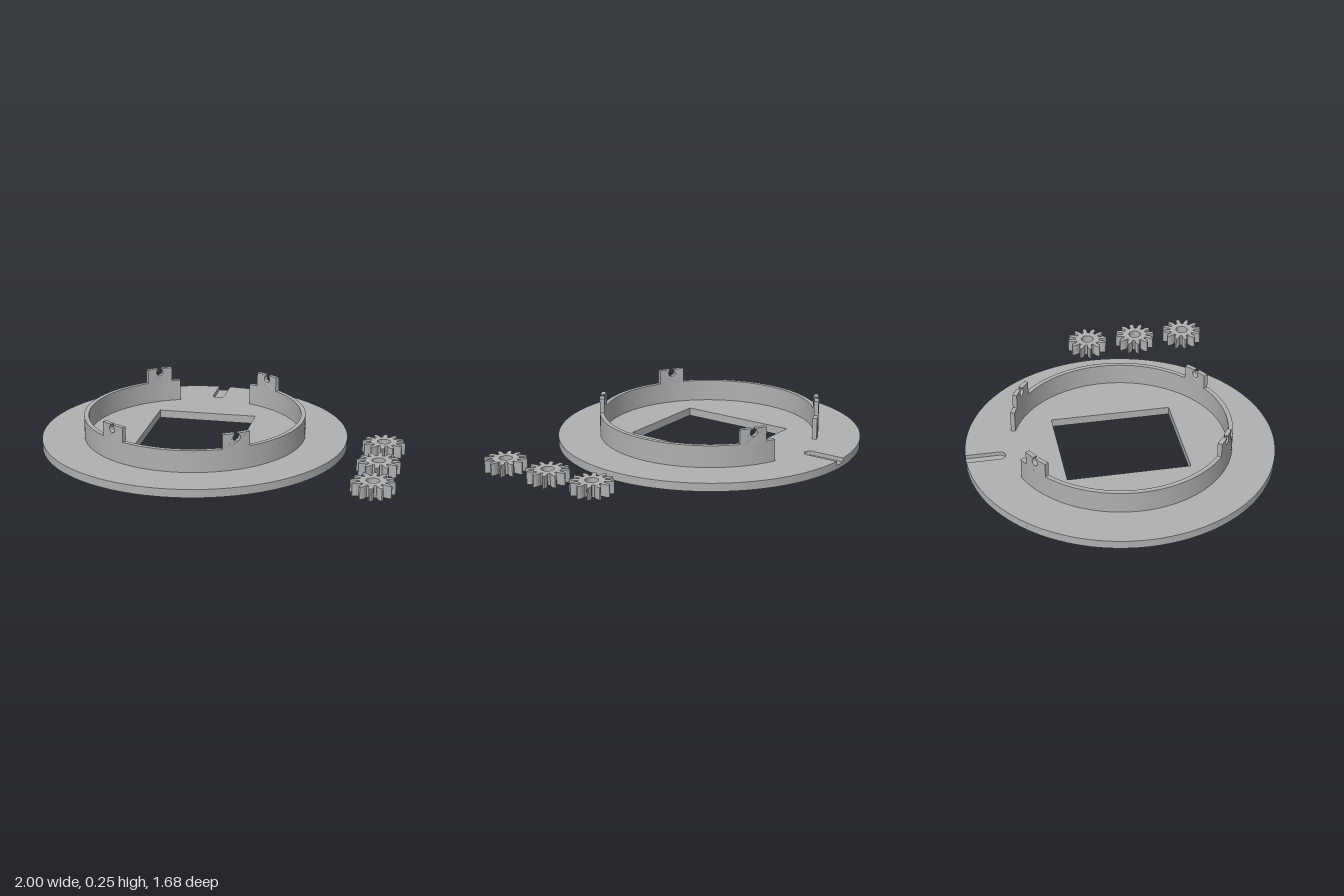
import * as THREE from 'three';
import { toCreasedNormals } from 'three/addons/utils/BufferGeometryUtils.js';

const CENTER_X = -0.16;
const DISC_R = 0.84, DISC_H = 0.045, LAYER = DISC_H / 2;
const WALL_IN = 0.583, WALL_OUT = 0.608, WALL_TOP = 0.165, TAB_TOP = 0.245;

const grey = new THREE.MeshStandardMaterial({ color: 0xb0b0b0 });
grey.name = 'grey';

function part(name, geometry) {
  const mesh = new THREE.Mesh(toCreasedNormals(geometry, 0.5), grey);
  mesh.name = name;
  return mesh;
}

// Upright extrusion of a plan shape; shape y points to the back (-z)
function slab(shape, y, height, curveSegments) {
  const g = new THREE.ExtrudeGeometry(shape, { depth: height, bevelEnabled: false, curveSegments });
  return g.rotateX(-Math.PI / 2).translate(0, y, 0);
}

function rectHole(cx, cy, w, h) {
  const p = new THREE.Path();
  p.moveTo(cx - w / 2, cy - h / 2);
  p.lineTo(cx - w / 2, cy + h / 2);
  p.lineTo(cx + w / 2, cy + h / 2);
  p.lineTo(cx + w / 2, cy - h / 2);
  p.closePath();
  return p;
}

const window_ = () => rectHole(-0.002, 0.002, 0.556, 0.666);

// Lower half of the disc, with three pockets open underneath
function discBottom() {
  const s = new THREE.Shape();
  s.absarc(0, 0, DISC_R, 0, Math.PI * 2, false);
  s.holes.push(window_(),
    rectHole(0.785, 0, 0.035, 0.12),
    rectHole(-0.785, 0, 0.035, 0.12),
    rectHole(0, -0.785, 0.12, 0.035));
  return part('discBottom', slab(s, 0, LAYER, 128));
}

// Upper half of the disc, with a round-ended groove at the back
function discTop() {
  const w = 0.0325, a = Math.asin(w / DISC_R);
  const s = new THREE.Shape();
  s.absarc(0, 0, DISC_R, Math.PI / 2 + a, Math.PI * 2.5 - a, false);
  s.lineTo(w, 0.6575);
  s.absarc(0, 0.6575, w, 0, Math.PI, true);
  s.closePath();
  s.holes.push(window_());
  return part('discTop', slab(s, LAYER, LAYER, 128));
}

// Ring wall, open at the back
function ringWall() {
  const gap = THREE.MathUtils.degToRad(20.7);
  const from = Math.PI / 2 + gap, to = Math.PI * 2.5 - gap;
  const s = new THREE.Shape();
  s.absarc(0, 0, WALL_OUT, from, to, false);
  s.absarc(0, 0, WALL_IN, to, from, true);
  s.closePath();
  return part('ringWall', slab(s, DISC_H, WALL_TOP - DISC_H, 120));
}

// Tab with a keyhole notch, bent to follow the ring
function tab(angle) {
  const R = (WALL_IN + WALL_OUT) / 2, half = 0.0745;
  const holeY = 0.222, holeR = 0.02, slot = 0.01;
  const a = Math.acos(slot / holeR);
  const s = new THREE.Shape();
  s.moveTo(-half, WALL_TOP);
  for (let i = 1; i <= 8; i++) s.lineTo(-half + (half * 2 * i) / 8, WALL_TOP);
  s.lineTo(half, TAB_TOP);
  s.lineTo(half / 2, TAB_TOP);
  s.lineTo(slot, TAB_TOP);
  s.absarc(0, holeY, holeR, a, Math.PI - a - Math.PI * 2, true);
  s.lineTo(-slot, TAB_TOP);
  s.lineTo(-half / 2, TAB_TOP);
  s.lineTo(-half, TAB_TOP);
  s.closePath();
  const g = new THREE.ExtrudeGeometry(s, { depth: WALL_OUT - WALL_IN, bevelEnabled: false, curveSegments: 20 });
  const p = g.attributes.position;
  for (let i = 0; i < p.count; i++) {
    const t = angle + p.getX(i) / R, r = WALL_IN + p.getZ(i);
    p.setXYZ(i, r * Math.sin(t), p.getY(i), r * Math.cos(t));
  }
  return part('tab', g);
}

// Twelve-tooth pinion with a round bore
function gear(z) {
  const teeth = 12;
  // [radius, half angle] up one flank of a tooth
  const flank = [[0.07, 0.17], [0.078, 0.155], [0.09, 0.145], [0.101, 0.115], [0.111, 0.07], [0.116, 0.03]];
  const s = new THREE.Shape();
  const pts = [];
  for (let i = 0; i < teeth; i++) {
    const c = (i / teeth) * Math.PI * 2;
    const add = (r, a) => pts.push(new THREE.Vector2(r * Math.cos(c + a), r * Math.sin(c + a)));
    flank.forEach(([r, h]) => add(r, -h));
    [...flank].reverse().forEach(([r, h]) => add(r, h));
  }
  s.setFromPoints(pts);
  const bore = new THREE.Path();
  bore.absarc(0, 0, 0.035, 0, Math.PI * 2, true);
  s.holes.push(bore);
  const mesh = part('gear', slab(s, 0, 0.067, 32));
  mesh.position.set(0.883, 0, z);
  return mesh;
}

export function createModel() {
  const model = new THREE.Group();
  model.name = 'ringMountWithGears';

  const mount = new THREE.Group();
  mount.name = 'ringMount';
  mount.position.x = CENTER_X;
  mount.add(discBottom(), discTop(), ringWall());
  const t = THREE.MathUtils.degToRad(33);
  for (const angle of [t, -t, Math.PI - t, Math.PI + t]) mount.add(tab(angle));
  model.add(mount);

  for (const z of [0, 0.29, 0.58]) model.add(gear(z));
  return model;
}
